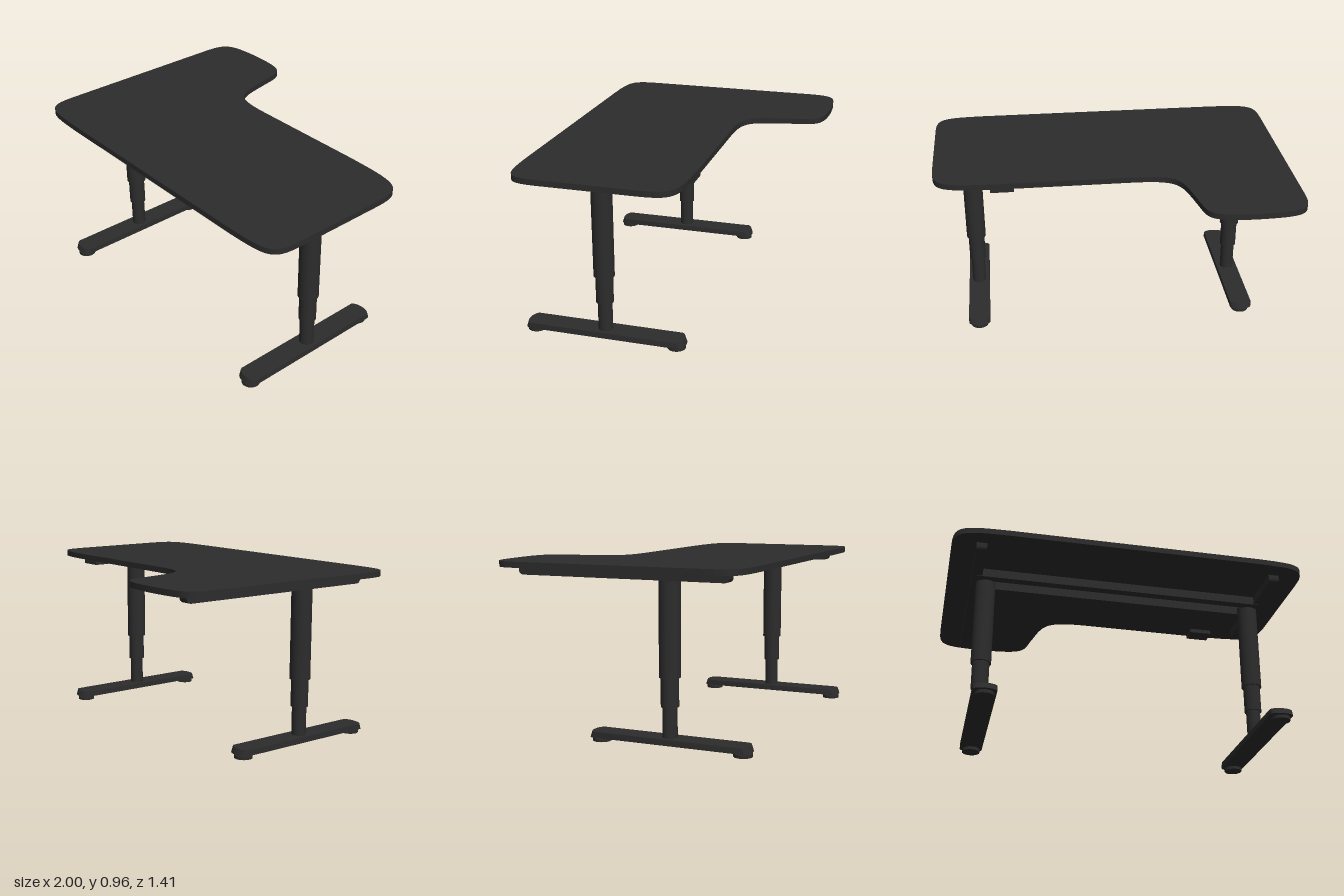
import * as THREE from 'three';
import { toCreasedNormals } from 'three/addons/utils/BufferGeometryUtils.js';

export function createModel() {
  const desk = new THREE.Group();
  desk.name = 'cornerDesk';
  const charcoal = new THREE.MeshStandardMaterial({ color: 0x2c2c2c });
  charcoal.name = 'charcoal';

  const add = (parent, name, geometry, x = 0, y = 0, z = 0) => {
    const mesh = new THREE.Mesh(geometry, charcoal);
    mesh.name = name;
    mesh.position.set(x, y, z);
    parent.add(mesh);
    return mesh;
  };
  const box = (parent, name, x0, x1, y0, y1, z0, z1) =>
    add(parent, name, new THREE.BoxGeometry(x1 - x0, y1 - y0, z1 - z0),
      (x0 + x1) / 2, (y0 + y1) / 2, (z0 + z1) / 2);
  const tube = (parent, name, r, y0, y1, z = 0) =>
    add(parent, name, new THREE.CylinderGeometry(r, r, y1 - y0, 40), 0, (y0 + y1) / 2, z);
  // Plan outline drawn as (x, z), top face at y = 0, thickness downwards
  const slab = (shape, depth) => {
    const g = new THREE.ExtrudeGeometry(shape, { depth, bevelEnabled: false, curveSegments: 20 });
    g.rotateX(Math.PI / 2);
    return g;
  };

  // L-shaped top with soft corners
  const top = new THREE.Shape();
  top.moveTo(-0.7, 0.705);
  top.lineTo(0.7, 0.705);
  top.bezierCurveTo(0.97, 0.7, 1, 0.69, 1, 0.5);
  top.lineTo(1, 0);
  top.bezierCurveTo(1, -0.21, 0.97, -0.225, 0.6, -0.23);
  top.lineTo(-0.1, -0.228);
  top.bezierCurveTo(-0.37, -0.228, -0.37, -0.28, -0.415, -0.5);
  top.bezierCurveTo(-0.45, -0.66, -0.42, -0.705, -0.7, -0.71);
  top.bezierCurveTo(-0.97, -0.705, -1, -0.69, -1, -0.5);
  top.lineTo(-1, 0.5);
  top.bezierCurveTo(-1, 0.69, -0.97, 0.7, -0.7, 0.705);
  add(desk, 'tabletop', toCreasedNormals(slab(top, 0.032), 0.6), 0, 0.962, 0);

  // Side rails under the top, rounded at the lower ends
  const rail = (name, x0, x1, zBack, zFront) => {
    const r = 0.03, y0 = 0.883, y1 = 0.931;
    const s = new THREE.Shape();
    s.moveTo(-zFront, y1);
    s.lineTo(-zFront, y0 + r);
    s.quadraticCurveTo(-zFront, y0, -zFront + r, y0);
    s.lineTo(-zBack - r, y0);
    s.quadraticCurveTo(-zBack, y0, -zBack, y0 + r);
    s.lineTo(-zBack, y1);
    const g = new THREE.ExtrudeGeometry(s, { depth: x1 - x0, bevelEnabled: false });
    g.rotateY(Math.PI / 2);
    add(desk, name, toCreasedNormals(g, 0.6), x0, 0, 0);
  };
  rail('leftRail', 0.805, 0.865, -0.1, 0.605);
  rail('rightRail', -0.868, -0.81, -0.608, 0.605);

  // Twin crossbars joining the legs
  box(desk, 'backCrossbar', -0.84, 0.84, 0.88, 0.931, 0.155, 0.2);
  box(desk, 'frontCrossbar', -0.84, 0.84, 0.88, 0.931, 0.288, 0.335);

  // Height control under the back edge
  box(desk, 'controlBox', 0.55, 0.68, 0.906, 0.931, -0.222, -0.13);

  // Foot: long bar with bowed ends that lean in at the top
  const footShape = new THREE.Shape();
  const w = 0.0625, l = 0.43, tip = 0.468;
  footShape.moveTo(-w, -l);
  footShape.bezierCurveTo(-w * 0.8, -tip, w * 0.8, -tip, w, -l);
  footShape.lineTo(w, l);
  footShape.bezierCurveTo(w * 0.8, tip, -w * 0.8, tip, -w, l);
  const footGeometry = slab(footShape, 0.033);
  const p = footGeometry.attributes.position;
  for (let i = 0; i < p.count; i++) {
    if (p.getY(i) > -0.01) p.setZ(i, p.getZ(i) * 0.975);
  }
  footGeometry.computeVertexNormals();
  const foot = toCreasedNormals(footGeometry, 0.6);

  // Telescopic legs
  for (const [name, x] of [['leftLeg', 0.792], ['rightLeg', -0.783]]) {
    const leg = new THREE.Group();
    leg.name = name;
    leg.position.set(x, 0, 0.244);
    desk.add(leg);
    tube(leg, 'outerColumn', 0.057, 0.375, 0.9);
    tube(leg, 'middleColumn', 0.048, 0.22, 0.38);
    tube(leg, 'innerColumn', 0.04, 0.05, 0.225);
    add(leg, 'foot', foot, 0, 0.058, 0);
    for (const z of [0.407, -0.403]) {
      tube(leg, 'levellingPad', 0.05, 0, 0.018, z);
      tube(leg, 'padStem', 0.03, 0.016, 0.03, z);
    }
  }
  return desk;
}
